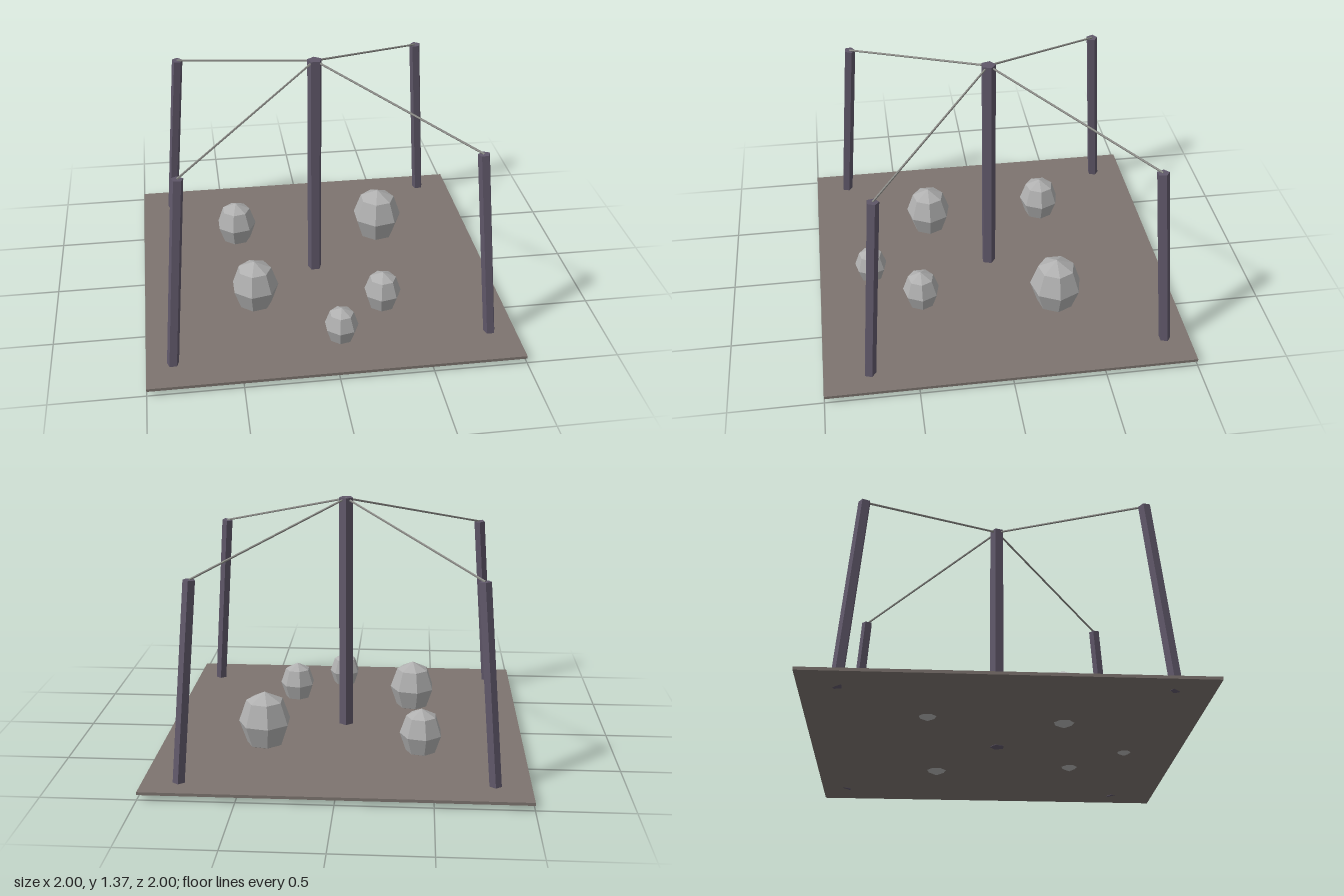
import * as THREE from 'three';

const mat = (name, color) => {
  const m = new THREE.MeshStandardMaterial({ color });
  m.name = name;
  return m;
};

// Faceted look: split the faces so each has its own normal
function flat(geometry) {
  const g = geometry.toNonIndexed();
  g.computeVertexNormals();
  return g;
}

// Straight prism running from point a to point b
function rod(name, a, b, radius, sides, material) {
  const dir = b.clone().sub(a);
  const geo = new THREE.CylinderGeometry(radius, radius, dir.length(), sides);
  geo.rotateY(Math.PI);
  const mesh = new THREE.Mesh(flat(geo), material);
  mesh.name = name;
  mesh.position.copy(a).add(b).multiplyScalar(0.5);
  mesh.quaternion.setFromUnitVectors(new THREE.Vector3(0, 1, 0), dir.normalize());
  return mesh;
}

export function createModel() {
  const group = new THREE.Group();
  group.name = 'poleCamp';
  const earth = mat('earth', 0x7d746f);
  const wood = mat('darkWood', 0x60586a);
  const stone = mat('stone', 0xb0b0b0);
  const rope = mat('rope', 0x8c8c88);
  const v = (x, y, z) => new THREE.Vector3(x, y, z);

  // Ground slab
  const ground = new THREE.Mesh(new THREE.BoxGeometry(2, 0.016, 2), earth);
  ground.name = 'ground';
  ground.position.y = 0.047;
  group.add(ground);

  // Centre pole
  group.add(rod('centrePole', v(0, 0.037, 0), v(0, 1.385, 0), 0.041, 5, wood));

  // Leaning corner posts, each tied to the centre pole: base x, z, top x, z
  const posts = [
    ['backRight', -0.815, -0.815, -0.73, -0.735],
    ['backLeft', 0.81, -0.865, 0.73, -0.785],
    ['frontRight', -0.86, 0.81, -0.775, 0.725],
    ['frontLeft', 0.86, 0.755, 0.775, 0.675],
  ];
  for (const [name, bx, bz, tx, tz] of posts) {
    group.add(rod(name + 'Post', v(bx, 0.039, bz), v(tx, 1.11, tz), 0.033, 5, wood));
    group.add(rod(name + 'Rope', v(0, 1.38, 0), v(tx, 1.11, tz), 0.006, 5, rope));
  }

  // Faceted boulders sunk into the ground: x, y, z, radius, half height
  const boulders = [
    [0.43, 0.185, -0.325, 0.146, 0.173],
    [-0.382, 0.171, 0.32, 0.132, 0.159],
    [-0.434, 0.158, -0.38, 0.118, 0.142],
    [0.325, 0.143, 0.43, 0.104, 0.127],
    [0.05, 0.133, 0.70, 0.093, 0.113],
  ];
  const boulderGeo = flat(new THREE.SphereGeometry(1, 7, 4).rotateY(Math.PI));
  boulders.forEach(([x, y, z, r, h], i) => {
    const boulder = new THREE.Mesh(boulderGeo, stone);
    boulder.name = 'boulder' + (i + 1);
    boulder.position.set(x, y, z);
    boulder.scale.set(r, h, r);
    group.add(boulder);
  });

  return group;
}
